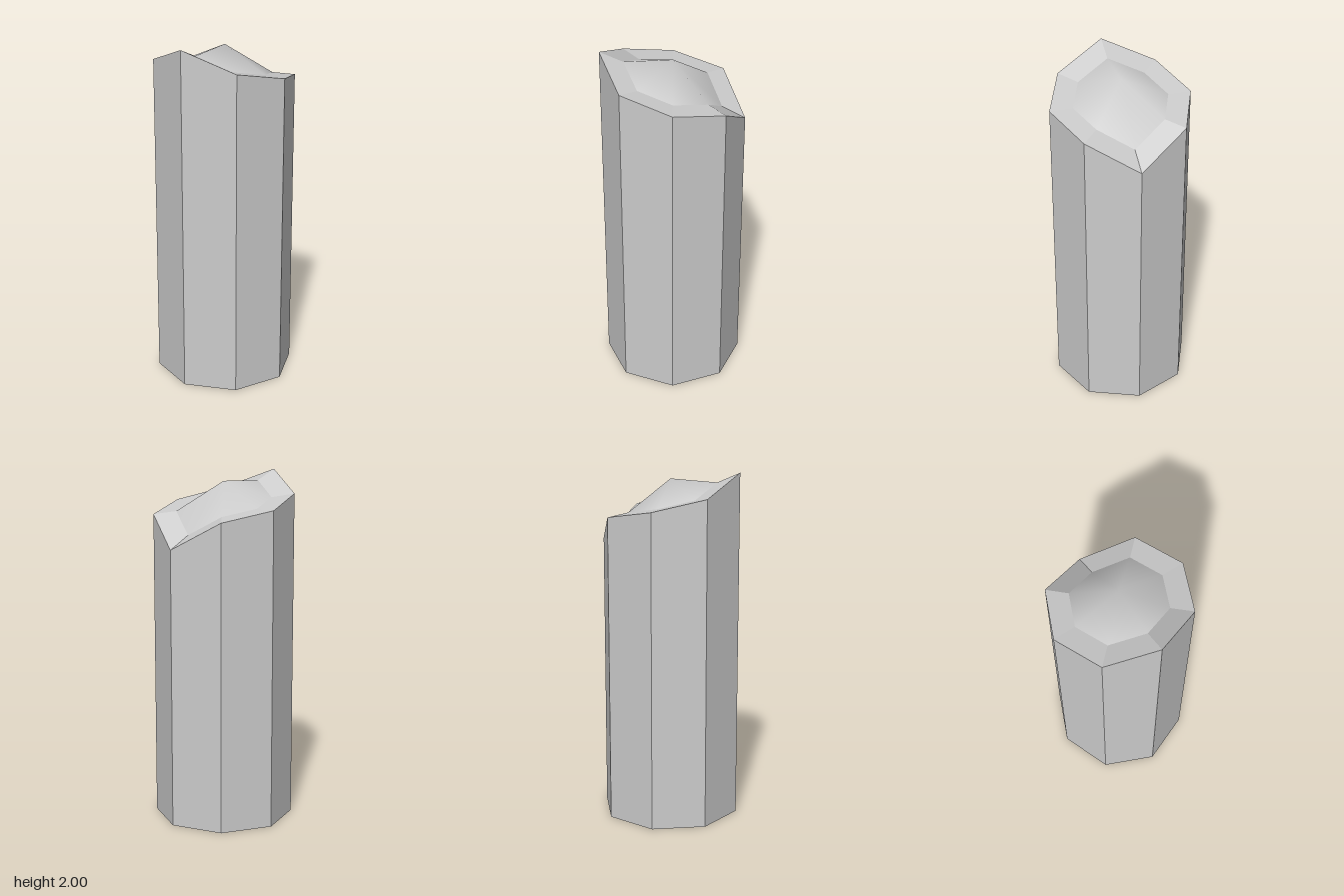
import * as THREE from 'three';

const SIDES = 8;
const MID = 1.82;          // height the slanted top is centred on
const RADIUS = 0.4;
const INSET = 0.675;       // inner rim size relative to the outer rim
// rim heights from the front corner round to the back corner
const RIM = [2.0, 1.885, 1.82, 1.765, 1.6];

const rimHeight = (i) => RIM[Math.min(i, SIDES - i)];

// Octagonal loop of points, starting at the front and turning towards +x
function loop(scale, height) {
  return Array.from({ length: SIDES }, (_, i) => {
    const a = (i / SIDES) * Math.PI * 2;
    return [Math.sin(a) * RADIUS * scale, height(i), Math.cos(a) * RADIUS * scale];
  });
}

// Faces between two loops, lower or outer loop first
function bandIndex(from, to) {
  const index = [];
  for (let i = 0; i < SIDES; i++) {
    const j = (i + 1) % SIDES;
    index.push(from + i, from + j, to + j, from + i, to + j, to + i);
  }
  return index;
}

// Faces from a loop to a single centre point
function fanIndex(centre, flip) {
  const index = [];
  for (let i = 0; i < SIDES; i++) {
    const j = (i + 1) % SIDES;
    index.push(centre, ...(flip ? [j, i] : [i, j]));
  }
  return index;
}

function makeMesh(name, points, index, flat) {
  let geometry = new THREE.BufferGeometry();
  geometry.setAttribute('position', new THREE.Float32BufferAttribute(points.flat(), 3));
  geometry.setIndex(index);
  if (flat) geometry = geometry.toNonIndexed();
  geometry.computeVertexNormals();
  const material = new THREE.MeshStandardMaterial({ color: 0xcccccc, flatShading: flat });
  const mesh = new THREE.Mesh(geometry, material);
  mesh.name = name;
  return mesh;
}

export function createModel() {
  const group = new THREE.Group();
  group.name = 'octagonalColumn';

  const base = loop(1, () => 0);
  const outer = loop(1, rimHeight);
  const inner = loop(INSET, (i) => MID + (rimHeight(i) - MID) * INSET);

  // Straight walls, underside and the slanted rim
  group.add(makeMesh('walls', [...base, ...outer], bandIndex(0, SIDES), true));
  group.add(makeMesh('underside', [...base, [0, 0, 0]], fanIndex(SIDES, true), true));
  group.add(makeMesh('rim', [...outer, ...inner], bandIndex(0, SIDES), true));

  // Raised, smoothly shaded cap inside the rim
  group.add(makeMesh('cap', [...inner, [0, 1.955, 0]], fanIndex(SIDES, false), false));

  return group;
}
